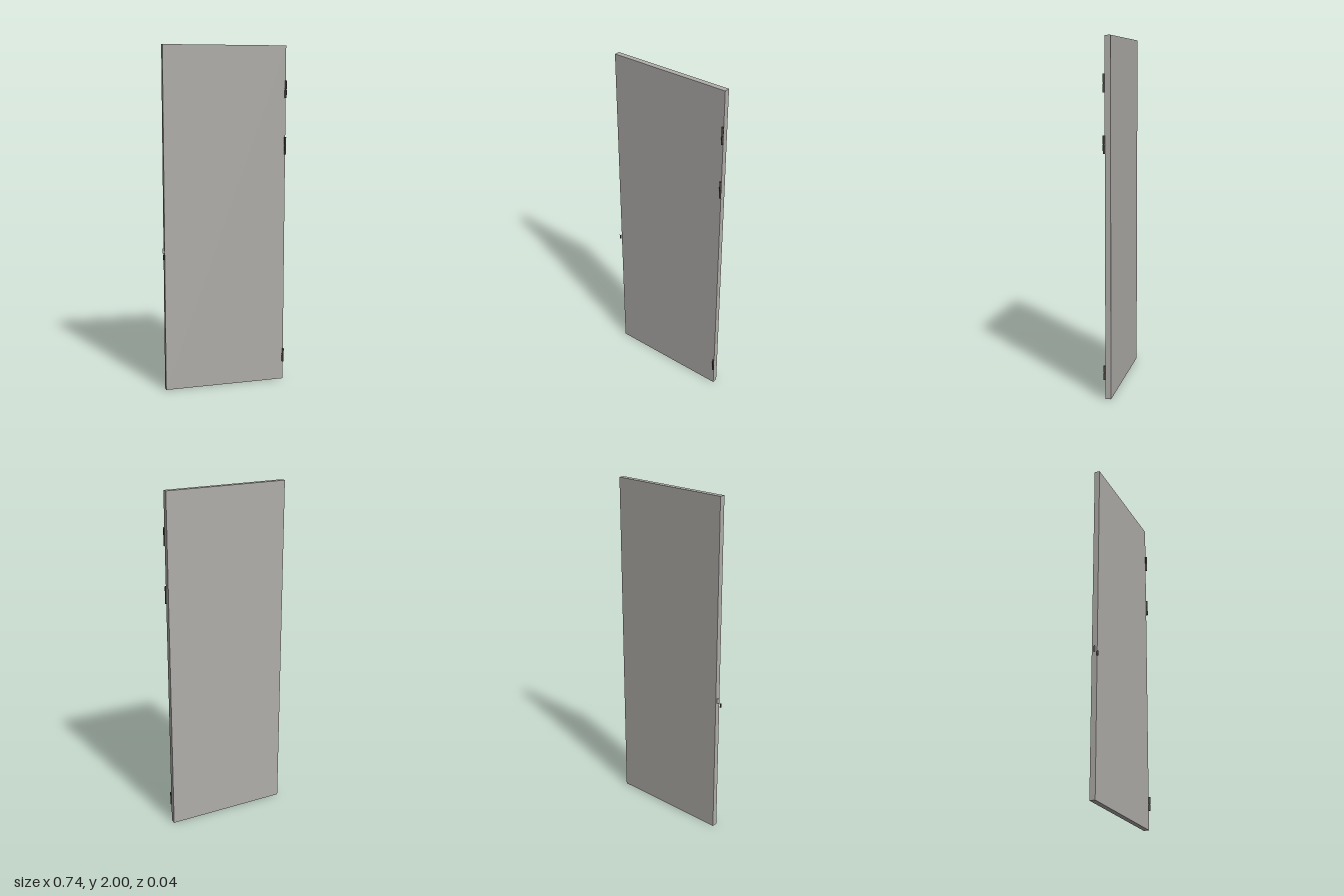
import * as THREE from 'three';

export function createModel() {
  const group = new THREE.Group();
  const doorGrey = new THREE.MeshStandardMaterial({ color: 0xb0aeaa });
  doorGrey.name = 'doorGrey';
  const darkMetal = new THREE.MeshStandardMaterial({ color: 0x4a4641 });
  darkMetal.name = 'darkMetal';

  function add(name, geometry, material, x, y, z, parent = group) {
    const mesh = new THREE.Mesh(geometry, material);
    mesh.name = name;
    mesh.position.set(x, y, z);
    parent.add(mesh);
    return mesh;
  }

  // Door slab
  add('doorSlab', new THREE.BoxGeometry(0.727, 2, 0.032), doorGrey, 0.0035, 1, -0.006);

  // Hinges: two knuckles on a thin pin
  const hinges = [[1.75, 0.1], [1.424, 0.1], [0.151, 0.08]];
  for (const [y, height] of hinges) {
    const hinge = new THREE.Group();
    hinge.name = 'hinge';
    hinge.position.set(0.365, y, 0.0155);
    group.add(hinge);
    const gap = 0.004;
    const knuckle = (height - gap) / 2;
    for (const side of [-1, 1]) {
      add('hingeKnuckle', new THREE.CylinderGeometry(0.006, 0.006, knuckle, 20), darkMetal,
        0, side * (knuckle + gap) / 2, 0, hinge);
    }
    add('hingePin', new THREE.CylinderGeometry(0.004, 0.004, height * 0.9, 12), darkMetal, 0, 0, 0, hinge);
  }

  // Bevelled latch bolt on the closing edge (shape y becomes -z)
  const wedge = new THREE.Shape();
  wedge.moveTo(-0.359, 0.013);
  wedge.lineTo(-0.371, 0.002);
  wedge.lineTo(-0.359, 0.002);
  wedge.closePath();
  const bolt = new THREE.ExtrudeGeometry(wedge, { depth: 0.03, bevelEnabled: false });
  bolt.rotateX(-Math.PI / 2);
  add('latchBolt', bolt, doorGrey, 0, 0.818, 0);

  // Small open sleeve below the latch
  add('latchSleeve', new THREE.CylinderGeometry(0.005, 0.005, 0.028, 16, 1, true), darkMetal,
    -0.366, 0.8, 0.0155);

  return group;
}
